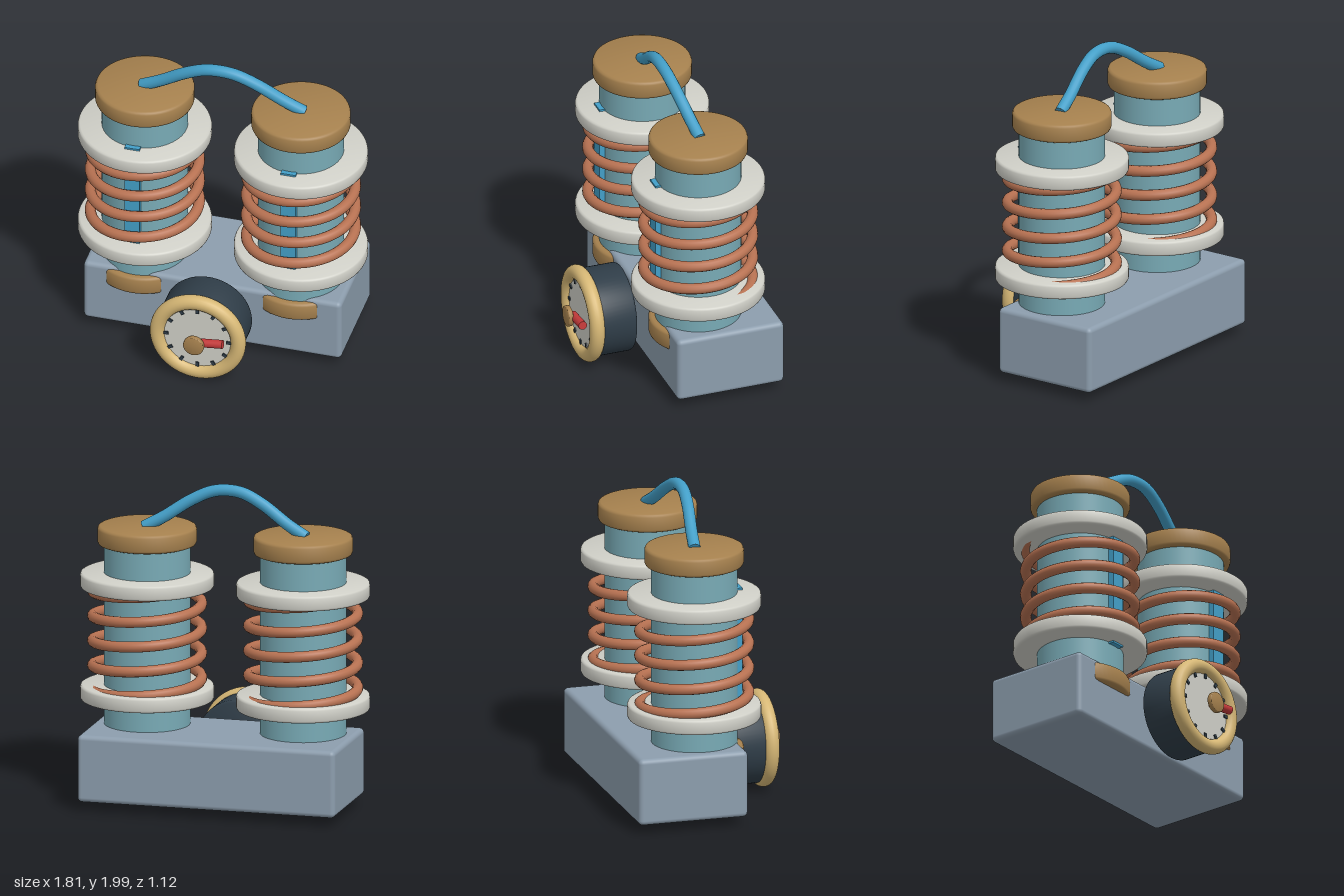
import * as THREE from 'three';
import { RoundedBoxGeometry } from 'three/addons/geometries/RoundedBoxGeometry.js';
import { toCreasedNormals } from 'three/addons/utils/BufferGeometryUtils.js';

const paint = (name, color) => {
  const m = new THREE.MeshStandardMaterial({ color });
  m.name = name;
  return m;
};

// Disc with softened rims, standing from y0 to y1
function disc(r, y0, y1, bevel = 0.015, sides = 64) {
  const p = [[0, y0], [r - bevel, y0], [r - bevel * 0.3, y0 + bevel * 0.3], [r, y0 + bevel],
    [r, y1 - bevel], [r - bevel * 0.3, y1 - bevel * 0.3], [r - bevel, y1], [0, y1]];
  const g = new THREE.LatheGeometry(p.map(([x, y]) => new THREE.Vector2(x, y)), sides);
  return toCreasedNormals(g, 0.9);
}

// Rising helix, counterclockwise seen from above
class Helix extends THREE.Curve {
  constructor(r, y0, y1, turns) {
    super();
    Object.assign(this, { r, y0, y1, turns });
  }
  getPoint(t, target = new THREE.Vector3()) {
    const a = t * this.turns * Math.PI * 2;
    return target.set(this.r * Math.cos(a), this.y0 + (this.y1 - this.y0) * t, -this.r * Math.sin(a));
  }
}

export function createModel() {
  const steel = paint('blue grey steel', 0x8c9dad);
  const teal = paint('teal glass', 0x78aab5);
  const brass = paint('brown brass', 0xa6814e);
  const gold = paint('pale gold', 0xd6b775);
  const ivory = paint('ivory ceramic', 0xd0d0c8);
  const copper = paint('copper', 0xb87252);
  const blue = paint('cable blue', 0x439fc8);
  const dark = paint('dark slate', 0x2f3d48);
  const red = paint('needle red', 0xc43a3a);

  const model = new THREE.Group();
  model.name = 'twinCoilDevice';
  const add = (parent, name, geometry, material, x = 0, y = 0, z = 0) => {
    const mesh = new THREE.Mesh(geometry, material);
    mesh.name = name;
    mesh.position.set(x, y, z);
    parent.add(mesh);
    return mesh;
  };

  // Base block
  add(model, 'base', new RoundedBoxGeometry(1.635, 0.42, 0.695, 4, 0.03), steel, 0, 0.275, -0.2125);

  // Two coil towers
  for (const side of [-1, 1]) {
    const tower = new THREE.Group();
    tower.name = side > 0 ? 'leftTower' : 'rightTower';
    tower.position.set(side * 0.495, 0, -0.115);
    model.add(tower);
    add(tower, 'column', new THREE.CylinderGeometry(0.264, 0.264, 1.25, 64), teal, 0, 1.025, 0);
    add(tower, 'topCap', disc(0.304, 1.61, 1.725, 0.018), brass);
    add(tower, 'footCollar', disc(0.304, 0.345, 0.465, 0.018), brass);
    add(tower, 'upperFlange', disc(0.41, 1.34, 1.433), ivory);
    add(tower, 'lowerFlange', disc(0.41, 0.637, 0.73), ivory);
    add(tower, 'coil', new THREE.TubeGeometry(new Helix(0.333, 0.685, 1.385, 4.5), 320, 0.034, 12), copper);
    add(tower, 'frontStrip', new THREE.BoxGeometry(0.095, 0.82, 0.05), blue, 0, 1.035, 0.27);
  }

  // Cable arching between the caps
  const half = [[0.515, 1.715], [0.39, 1.785], [0.23, 1.89], [0.1, 1.95]];
  const arch = [...half.map(([x, y]) => [-x, y]), [0, 1.963], ...half.slice().reverse()];
  const path = new THREE.CatmullRomCurve3(
    arch.map(([x, y]) => new THREE.Vector3(x, y, -0.118 + (y - 1.715) * 0.25)));
  add(model, 'cable', new THREE.TubeGeometry(path, 64, 0.037, 16), blue);
  for (const t of [0, 1]) {
    const end = add(model, 'cableEnd', new THREE.CircleGeometry(0.037, 16), blue);
    end.position.copy(path.getPoint(t));
    end.lookAt(end.position.clone().addScaledVector(path.getTangent(t), t ? 1 : -1));
  }

  // Gauge, built facing +z around its own centre
  const gauge = new THREE.Group();
  gauge.name = 'gauge';
  gauge.position.set(0, 0.31, 0);
  model.add(gauge);
  add(gauge, 'housing', disc(0.275, 0.195, 0.44), dark).rotation.x = Math.PI / 2;
  add(gauge, 'rim', new THREE.TorusGeometry(0.256, 0.047, 20, 64), gold, 0, 0, 0.453);
  add(gauge, 'dial', new THREE.CylinderGeometry(0.235, 0.235, 0.03, 64), ivory, 0, 0, 0.45)
    .rotation.x = Math.PI / 2;
  for (let i = 0; i < 12; i++) {
    const a = i * Math.PI / 6;
    add(gauge, 'tick', new THREE.BoxGeometry(0.032, 0.02, 0.009), dark,
      0.2 * Math.cos(a), 0.2 * Math.sin(a), 0.468).rotation.z = a;
  }

  // Needle and hub
  const needle = add(gauge, 'needle', new THREE.CylinderGeometry(0.027, 0.027, 0.176, 20), red, 0.088, 0.01, 0.518);
  needle.rotation.z = -Math.PI / 2 + 0.11;
  add(gauge, 'hub', disc(0.065, 0.534, 0.565, 0.005, 32), brass).rotation.x = Math.PI / 2;

  return model;
}
